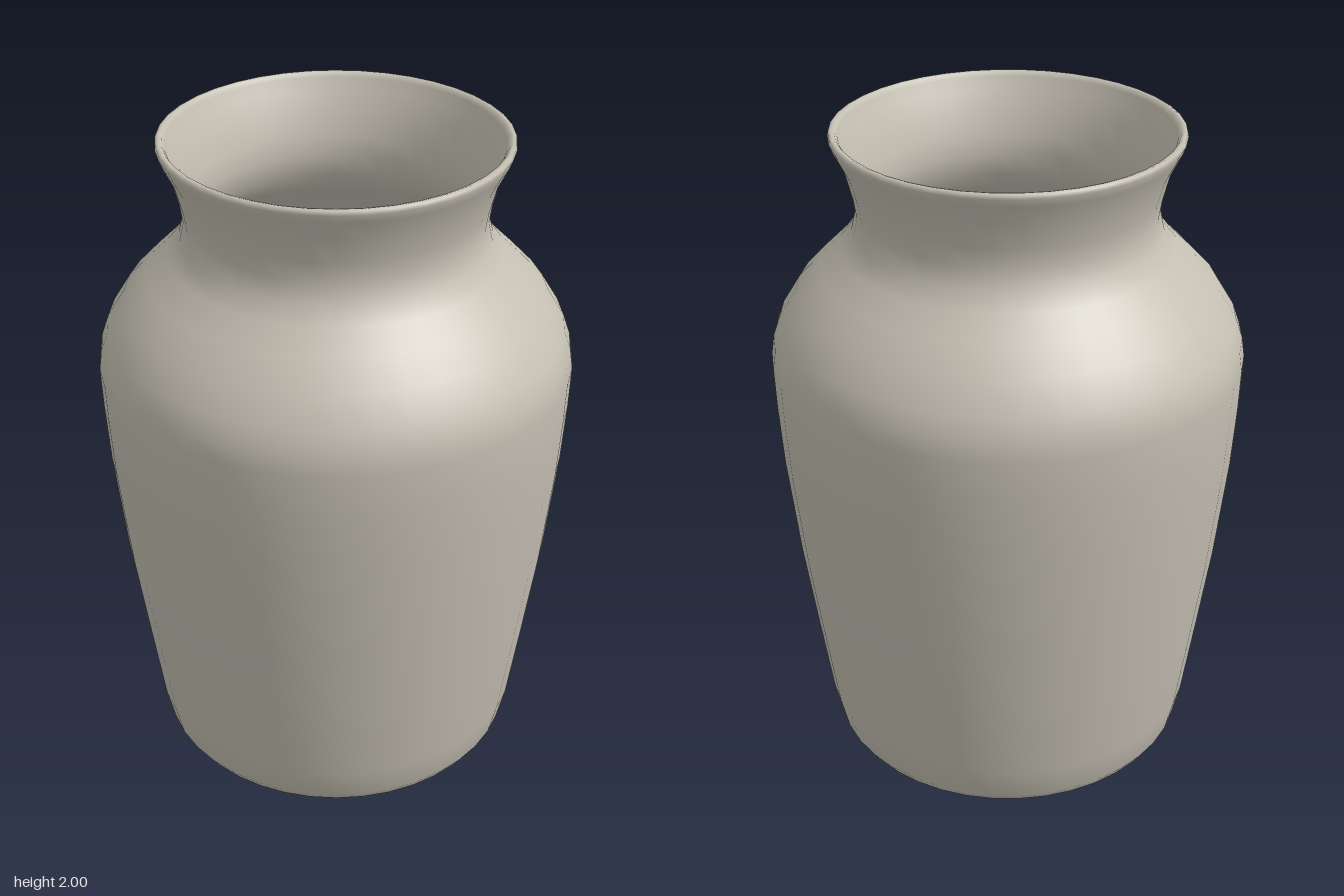
import * as THREE from 'three';

const SEGMENTS = 40;

// Turns a list of [radius, height] pairs into a lathed mesh
function lathe(name, profile, material) {
  const points = profile.map(([r, y]) => new THREE.Vector2(r, y));
  const mesh = new THREE.Mesh(new THREE.LatheGeometry(points, SEGMENTS), material);
  mesh.name = name;
  return mesh;
}

export function createModel() {
  const clay = new THREE.MeshStandardMaterial({ color: 0xc4bfb2 });
  clay.name = 'stone grey clay';

  const vase = new THREE.Group();
  vase.name = 'vase';

  // Underside with a shallow recess inside the foot ring
  const base = [[0, 0.025], [0.28, 0.025], [0.33, 0.015], [0.4, 0.003], [0.48, 0], [0.525, 0.012]];

  // Tapered body, rounded shoulder, narrow neck and flared mouth
  const wall = [
    [0.525, 0.012], [0.548, 0.045], [0.573, 0.15], [0.61, 0.4], [0.65, 0.68],
    [0.685, 1.0], [0.697, 1.18], [0.702, 1.31], [0.693, 1.37], [0.672, 1.43],
    [0.62, 1.515], [0.55, 1.59], [0.49, 1.65], [0.452, 1.7], [0.438, 1.76],
    [0.447, 1.82], [0.468, 1.9], [0.498, 1.96], [0.508, 1.985],
  ];

  // Thin rounded lip
  const lip = [[0.506, 1.996], [0.498, 2.0], [0.488, 1.997], [0.48, 1.985]];

  // Hollow inside, following the wall down to a flat floor
  const inside = [
    [0.468, 1.95], [0.442, 1.9], [0.42, 1.82], [0.411, 1.76], [0.424, 1.69],
    [0.465, 1.63], [0.525, 1.57], [0.595, 1.5], [0.645, 1.42], [0.672, 1.31],
    [0.656, 1.0], [0.62, 0.68], [0.58, 0.4], [0.545, 0.15], [0.52, 0.07],
    [0.48, 0.045], [0.4, 0.04], [0, 0.04],
  ];

  vase.add(lathe('body', [...base, ...wall.slice(1), ...lip, ...inside], clay));

  const model = new THREE.Group();
  model.name = 'model';
  model.add(vase);
  return model;
}
